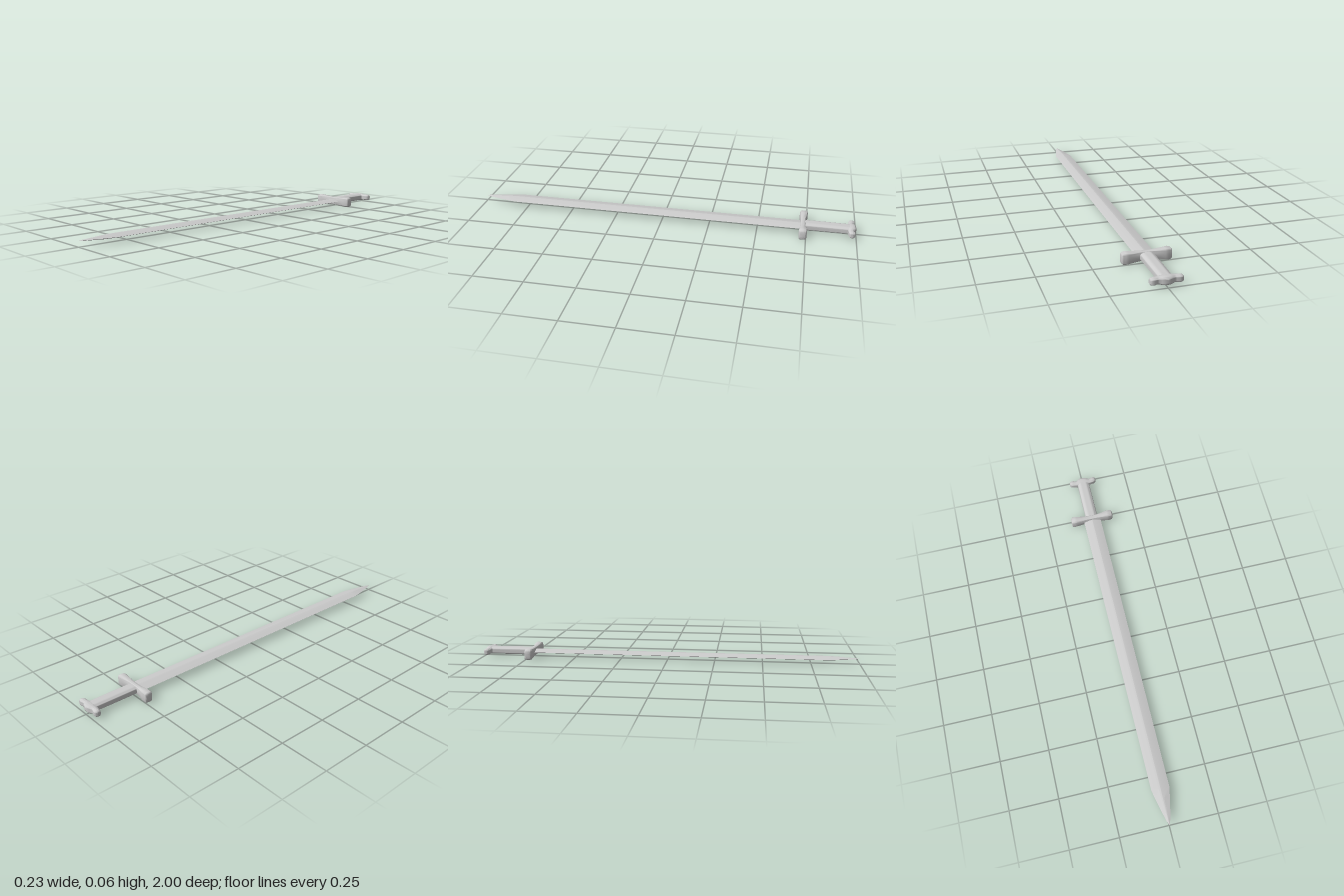
import * as THREE from 'three';
import { toCreasedNormals } from 'three/addons/utils/BufferGeometryUtils.js';

const MID = 0.028; // height of the sword's long axis
const material = new THREE.MeshStandardMaterial({ color: 0xcccccc });

// Unit cross-sections, counter-clockwise
const roundedRing = (power, count = 32) => Array.from({ length: count }, (_, i) => {
  const a = (i / count) * Math.PI * 2;
  const bend = (v) => Math.sign(v) * Math.abs(v) ** (2 / power);
  return [bend(Math.cos(a)), bend(Math.sin(a))];
});
const bladeRing = [[1, 0], [0.2, 0.9], [0, 1], [-0.2, 0.9], [-1, 0], [-0.2, -0.9], [0, -1], [0.2, -0.9]];

// Sweeps a ring along z; each section is [z, halfWidth, halfHeight, xOffset]
function loft(name, ring, sections, crease) {
  const n = ring.length, positions = [], index = [];
  for (const [z, w, h, offset = 0] of sections) {
    for (const [x, y] of ring) positions.push(x * w + offset, y * h, z);
  }
  for (let i = 0; i < sections.length - 1; i++) {
    for (let j = 0; j < n; j++) {
      const a = i * n + j, b = i * n + (j + 1) % n;
      index.push(a, b, b + n, a, b + n, a + n);
    }
  }
  const last = (sections.length - 1) * n;
  for (let j = 1; j < n - 1; j++) {
    index.push(0, j + 1, j, last, last + j, last + j + 1);
  }
  const geometry = new THREE.BufferGeometry();
  geometry.setAttribute('position', new THREE.Float32BufferAttribute(positions, 3));
  geometry.setIndex(index);
  const mesh = new THREE.Mesh(toCreasedNormals(geometry, crease), material);
  mesh.name = name;
  mesh.position.y = MID;
  return mesh;
}

// Crosswise part, symmetric in x, from sections [x, zBack, zFront, halfHeight] for x >= 0
function crosswise(name, ring, half) {
  const full = [...half.slice(1).reverse().map(([x, ...rest]) => [-x, ...rest]), ...half];
  const sections = full.map(([x, back, front, h]) => [x, (front - back) / 2, h, -(front + back) / 2]);
  const mesh = loft(name, ring, sections, 0.9);
  mesh.rotation.y = Math.PI / 2;
  return mesh;
}

export function createModel() {
  const sword = new THREE.Group();
  sword.name = 'sword';

  // Long ridged blade narrowing to a point
  sword.add(loft('blade', bladeRing, [
    [-0.735, 0.047, 0.011], [0.82, 0.046, 0.011], [0.87, 0.036, 0.01],
    [0.93, 0.022, 0.006], [0.98, 0.009, 0.003], [1, 0.001, 0.0005],
  ], 0.15));

  // Crossguard flaring towards both ends
  sword.add(crosswise('crossguard', roundedRing(5), [
    [0, -0.744, -0.719, 0.022], [0.03, -0.745, -0.718, 0.0225], [0.06, -0.749, -0.716, 0.0245],
    [0.085, -0.753, -0.714, 0.027], [0.1, -0.754, -0.713, 0.028], [0.11, -0.753, -0.714, 0.0265],
    [0.115, -0.75, -0.717, 0.023], [0.117, -0.745, -0.722, 0.018],
  ]));

  // Grip with an oval section
  sword.add(loft('grip', roundedRing(2.6), [
    [-0.968, 0.033, 0.019], [-0.85, 0.034, 0.02], [-0.735, 0.034, 0.02],
  ], 0.9));

  // Three-lobed pommel
  sword.add(crosswise('pommel', roundedRing(2.8), [
    [0, -1, -0.955, 0.02], [0.012, -0.999, -0.955, 0.0198], [0.024, -0.995, -0.955, 0.0185],
    [0.034, -0.988, -0.956, 0.016], [0.042, -0.989, -0.957, 0.0155], [0.054, -0.993, -0.959, 0.0165],
    [0.064, -0.993, -0.961, 0.016], [0.071, -0.99, -0.964, 0.0135], [0.075, -0.984, -0.969, 0.008],
    [0.076, -0.979, -0.974, 0.003],
  ]));

  return sword;
}
